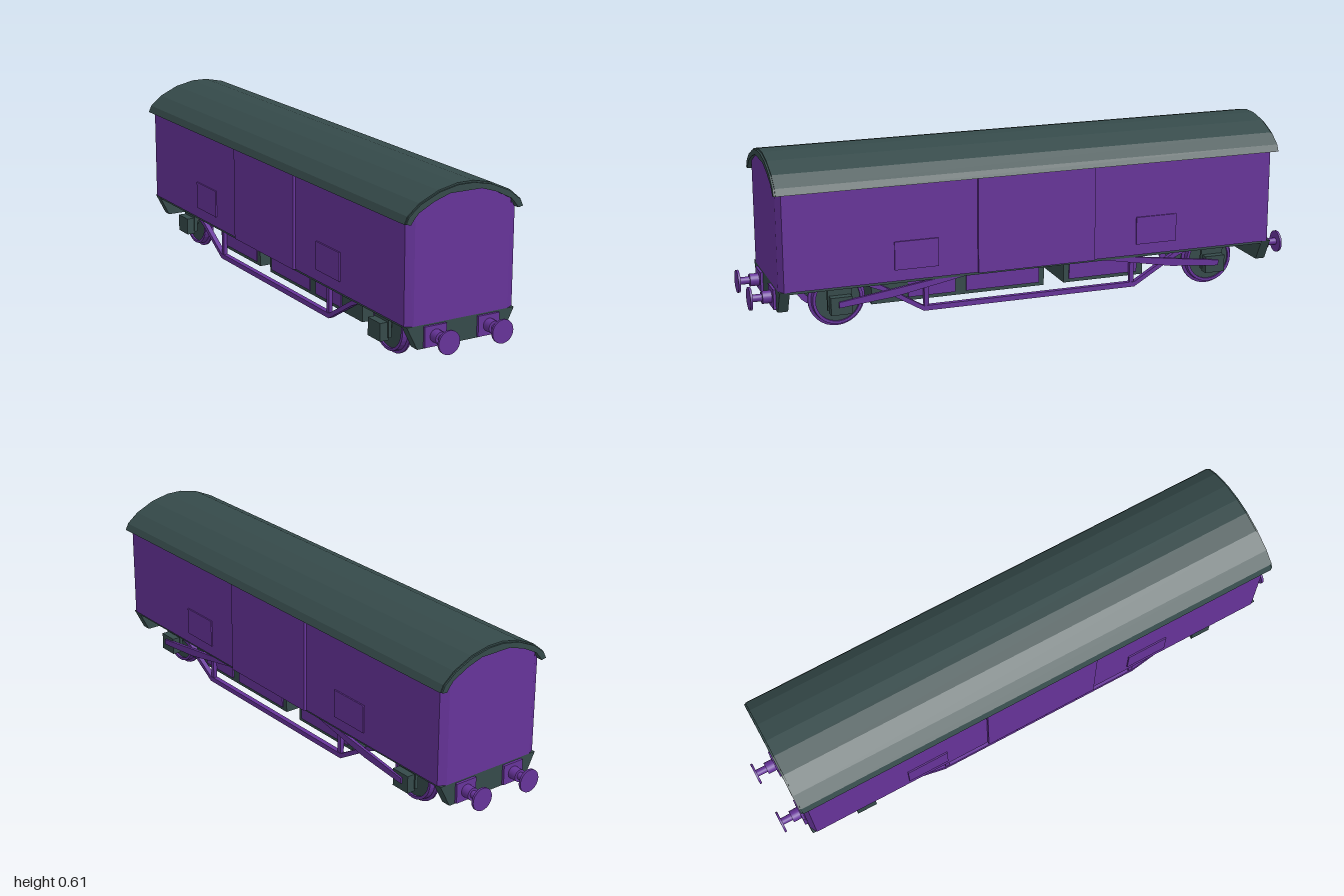
import * as THREE from 'three';

export function createModel() {
  const purple = new THREE.MeshStandardMaterial({ color: 0x663399 });
  purple.name = 'purple';
  const slate = new THREE.MeshStandardMaterial({ color: 0x354a4a });
  slate.name = 'dark slate';
  const model = new THREE.Group();
  model.name = 'van';

  function add(name, geometry, material, x = 0, y = 0, z = 0, parent = model) {
    const mesh = new THREE.Mesh(geometry, material);
    mesh.name = name;
    mesh.position.set(x, y, z);
    parent.add(mesh);
    return mesh;
  }
  // box given by its limits
  const box = (name, mat, x0, x1, y0, y1, z0, z1) =>
    add(name, new THREE.BoxGeometry(x1 - x0, y1 - y0, Math.abs(z1 - z0)), mat,
      (x0 + x1) / 2, (y0 + y1) / 2, (z0 + z1) / 2);
  const polygon = pts => new THREE.Shape(pts.map(p => new THREE.Vector2(p[0], p[1])));
  // mirror a half outline running from the centre outwards
  const mirrored = half => [...half.map(p => [-p[0], p[1]]).reverse(), ...half];
  // extrude a cross-section along z, centred on z = 0
  function prism(pts, length) {
    const g = new THREE.ExtrudeGeometry(polygon(pts), { depth: length, bevelEnabled: false });
    return g.translate(0, 0, -length / 2);
  }

  // body: chamfered plan, with arched ends under the roof
  const plan = [[-0.18, -0.915], [0.18, -0.915], [0.207, -0.9], [0.207, 0.9],
    [0.18, 0.915], [-0.18, 0.915], [-0.207, 0.9], [-0.207, -0.9]];
  const walls = new THREE.ExtrudeGeometry(polygon(plan), { depth: 0.35, bevelEnabled: false });
  walls.rotateX(-Math.PI / 2);
  add('bodyWalls', walls, purple, 0, 0.165, 0);
  const arch = [[0.06, 0.587], [0.12, 0.567], [0.18, 0.535]];
  add('bodyArch', prism([...mirrored([...arch, [0.18, 0.5]])], 1.83), purple);
  add('bodyShoulder', prism(mirrored([[0.18, 0.535], [0.207, 0.502]]), 1.8), purple);

  // curved roof shell with a slight rounding at both ends
  const outer = [[0.03, 0.61], [0.1, 0.595], [0.17, 0.563], [0.213, 0.527], [0.224, 0.503]];
  const inner = [[0.06, 0.586], [0.12, 0.566], [0.178, 0.535], [0.195, 0.515], [0.205, 0.5]];
  const roofSection = [...mirrored(outer), ...mirrored(inner).reverse()];
  add('roof', prism(roofSection, 1.84), slate);
  const trimmed = roofSection.map(p => [p[0] * 0.985, 0.5 + (p[1] - 0.5) * 0.95]);
  add('roofEnds', prism(trimmed, 1.852), slate);

  // side doors and small hatch plates
  for (const s of [-1, 1]) {
    const a = Math.min(s * 0.2, s * 0.217);
    box('sideDoor', purple, a, a + 0.017, 0.165, 0.505, -0.213, 0.22);
    for (const z of [0.44, -0.452]) {
      add('hatchPlate', new THREE.BoxGeometry(0.008, 0.1, 0.155), purple, s * 0.208, 0.255, z);
    }
  }

  // underframe floor and equipment boxes
  box('floor', slate, -0.2, 0.2, 0.155, 0.166, -0.89, 0.89);
  box('equipmentBoxLong', slate, -0.165, 0.165, 0.078, 0.158, -0.04, 0.59);
  box('equipmentBoxShort', slate, -0.165, 0.165, 0.078, 0.158, -0.42, -0.115);
  for (const s of [-1, 1]) {
    for (const [z0, z1] of [[-0.02, 0.25], [0.29, 0.46], [-0.395, -0.135]]) {
      add('equipmentPanel', new THREE.BoxGeometry(0.008, 0.062, z1 - z0), purple,
        s * 0.166, 0.122, (z0 + z1) / 2);
    }
  }

  // headstocks and buffers at each end
  const headstock = mirrored([[0.205, 0.165], [0.195, 0.145], [0.165, 0.086]]);
  const disc = (r, len) => new THREE.CylinderGeometry(r, r, len, 24).rotateX(Math.PI / 2);
  for (const e of [-1, 1]) {
    add('headstock', prism(headstock, 0.035), slate, 0, 0, e * 0.8975);
    for (const x of [-0.102, 0.102]) {
      add('bufferPlate', new THREE.BoxGeometry(0.082, 0.07, 0.01), purple, x, 0.125, e * 0.919);
      add('bufferSleeve', disc(0.022, 0.035), purple, x, 0.125, e * 0.938);
      add('bufferShaft', disc(0.013, 0.07), purple, x, 0.125, e * 0.96);
      add('bufferHead', disc(0.04, 0.008), purple, x, 0.125, e * 0.996);
    }
  }

  // wheelsets: flanged purple tyre, dark centre, axle and axleboxes
  const tyre = [[0.078, 0.108], [0.1, 0.108], [0.1, 0.115], [0.09, 0.118],
    [0.088, 0.137], [0.078, 0.137], [0.078, 0.108]];
  for (const z of [-0.7, 0.7]) {
    const set = new THREE.Group();
    set.name = 'wheelset';
    set.position.set(0, 0.1, z);
    model.add(set);
    add('axle', new THREE.CylinderGeometry(0.015, 0.015, 0.32, 12).rotateZ(Math.PI / 2),
      slate, 0, 0, 0, set);
    for (const s of [-1, 1]) {
      const rim = new THREE.LatheGeometry(tyre.map(p => new THREE.Vector2(p[0], p[1])), 32);
      const flat = rim.toNonIndexed();
      flat.computeVertexNormals();
      add('tyre', flat, purple, 0, 0, 0, set).rotation.z = -s * Math.PI / 2;
      add('wheelCentre', new THREE.CylinderGeometry(0.08, 0.08, 0.016, 32).rotateZ(Math.PI / 2),
        slate, s * 0.122, 0, 0, set);
      add('axleGuard', new THREE.BoxGeometry(0.012, 0.09, 0.085), slate, s * 0.156, 0.015, 0, set);
      add('axlebox', new THREE.BoxGeometry(0.032, 0.062, 0.075), slate, s * 0.174, -0.008, 0, set);
    }
  }

  // truss rods below each side
  const thick = 0.009;
  const rod = [[0.62, 0.165], [0.56, 0.14], [0.41, 0.05], [-0.38, 0.05], [-0.53, 0.14], [-0.59, 0.165]];
  const rodShape = polygon([...rod.map(p => [p[0], p[1] + thick]),
    ...rod.map(p => [p[0], p[1] - thick]).reverse()]);
  for (const x of [-0.179, 0.179]) {
    const g = new THREE.ExtrudeGeometry(rodShape, { depth: 0.018, bevelEnabled: false });
    g.translate(0, 0, -0.009).rotateY(-Math.PI / 2);
    add('trussRod', g, purple, x, 0, 0);
    for (const z of [0.4, -0.37]) {
      add('trussPost', new THREE.BoxGeometry(0.014, 0.11, 0.016), purple, x, 0.108, z);
    }
  }

  // tapered brake levers, on the left side only
  for (const e of [-1, 1]) {
    const lever = polygon([[0.71, 0.088], [0.71, 0.108], [0.55, 0.13], [0.22, 0.175],
      [0.22, 0.162], [0.52, 0.106]].map(p => [e * p[0], p[1]]));
    const g = new THREE.ExtrudeGeometry(lever, { depth: 0.011, bevelEnabled: false });
    g.rotateY(-Math.PI / 2);
    add('brakeLever', g, purple, 0.197, 0, 0);
  }
  return model;
}
